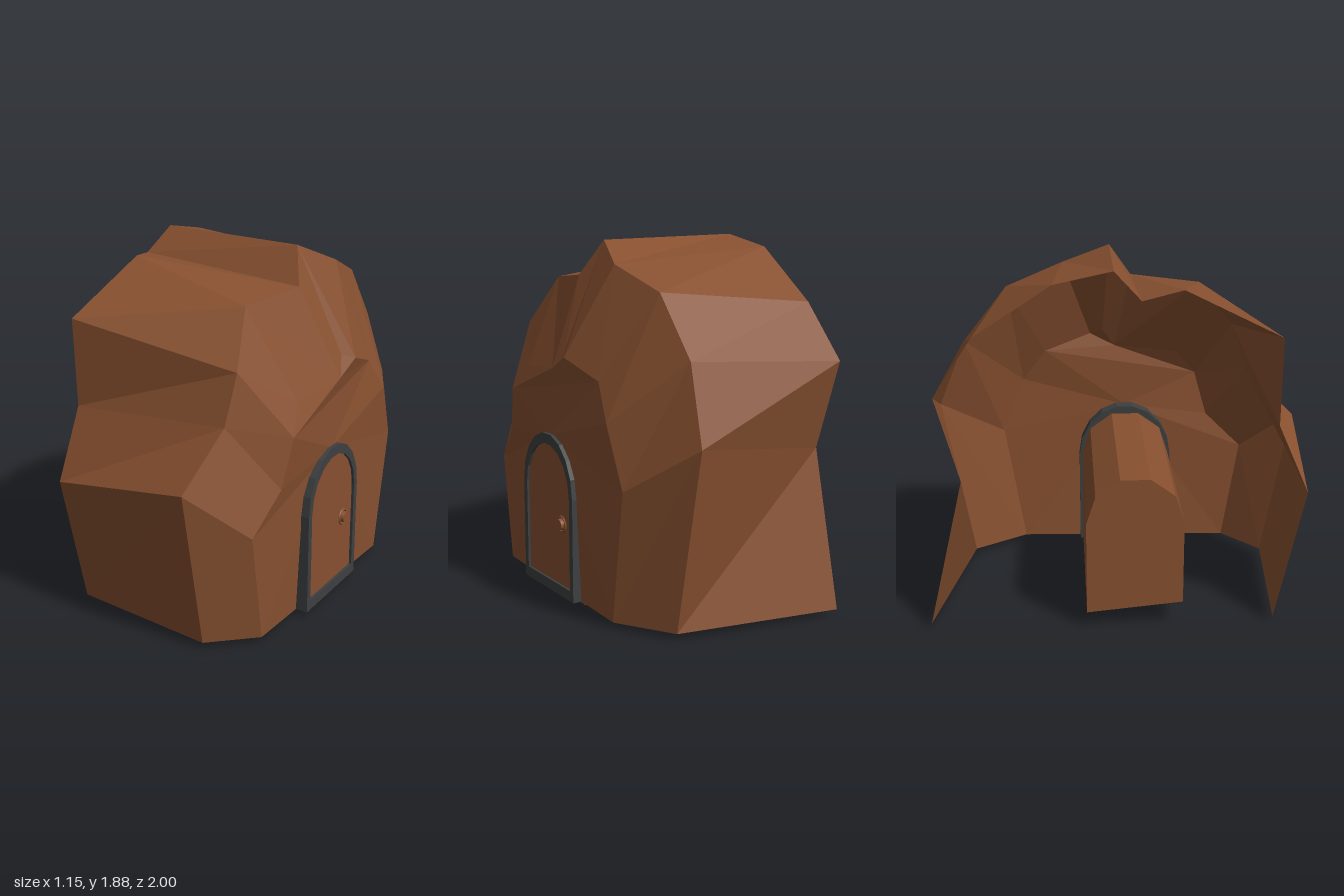
import * as THREE from 'three';

const rock = new THREE.MeshStandardMaterial({ color: 0x875030, side: THREE.DoubleSide, flatShading: true });
rock.name = 'brown rock';
const iron = new THREE.MeshStandardMaterial({ color: 0x3d3f40, flatShading: true });
iron.name = 'dark grey';

const DOOR_Z = 0.058;

// Rings of the shell, [x, y, z], each running from the +z foot over the top to the -z foot
const backRim = [
  [-0.52, 0.03, 0.785], [-0.53, 0.74, 0.93], [-0.52, 1.1, 0.77], [-0.53, 1.55, 0.77],
  [-0.49, 1.78, 0.29], [-0.58, 1.75, 0.08], [-0.52, 1.88, -0.05], [-0.53, 1.82, -0.34],
  [-0.5, 1.56, -0.73], [-0.55, 1.28, -0.92], [-0.51, 0.83, -0.81], [-0.51, 0.03, -1],
];
const shoulder = [
  [0.27, 0.03, 0.85], [0.27, 0.88, 1], [0.33, 1.14, 0.73], [0.35, 1.39, 0.65],
  [0.27, 1.65, 0.45], [0.35, 1.68, 0.08], [0.27, 1.86, -0.04], [0.36, 1.75, -0.29],
  [0.3, 1.63, -0.6], [0.29, 1.33, -0.84], [0.33, 0.95, -0.99], [0.35, 0.03, -0.83],
];
const faceRim = [
  [0.49, 0.03, 0.65], [0.49, 0.61, 0.74], [0.53, 0.8, 0.54], [0.555, 1.05, 0.47],
  [0.51, 1.19, 0.36], [0.555, 1.22, 0], [0.52, 1.32, -0.07], [0.565, 1.29, -0.14],
  [0.52, 1.2, -0.4], [0.555, 1.02, -0.53], [0.54, 0.71, -0.65], [0.53, 0.03, -0.54],
];
const faceCentre = [0.547, 0.86, DOOR_Z];
const browStart = 3, browEnd = 8; // the brow above the door hangs over this stretch of the face rim

function shellGeometry() {
  const p = [];
  const tri = (a, b, c) => p.push(...a, ...b, ...c);
  for (let i = 0; i < backRim.length - 1; i++) {
    for (const [a, b] of [[backRim, shoulder], [shoulder, faceRim]]) {
      tri(a[i], b[i], b[i + 1]);
      tri(a[i], b[i + 1], a[i + 1]);
    }
  }
  // Brow, a fan that ends on a crease running across the face
  const brow = faceRim.slice(browStart, browEnd + 1);
  const pivot = brow[2];
  tri(pivot, brow[1], brow[0]);
  tri(pivot, brow[0], brow[5]);
  tri(pivot, brow[5], brow[4]);
  tri(pivot, brow[4], brow[3]);
  // Lower wall around the door
  const wall = [...faceRim.slice(0, browStart + 1), ...faceRim.slice(browEnd)];
  wall.forEach((v, i) => tri(faceCentre, wall[(i + 1) % wall.length], v));

  const g = new THREE.BufferGeometry();
  g.setAttribute('position', new THREE.Float32BufferAttribute(p, 3));
  g.computeVertexNormals();
  return g;
}

// Outline of a round-topped doorway
function arch(halfWidth, bottom, spring, top, segments = 9) {
  const pts = [new THREE.Vector2(-halfWidth, bottom), new THREE.Vector2(halfWidth, bottom)];
  for (let i = 0; i <= segments; i++) {
    const a = (Math.PI * i) / segments;
    pts.push(new THREE.Vector2(halfWidth * Math.cos(a), spring + (top - spring) * Math.sin(a)));
  }
  return pts;
}

// Extrude an outline along x between two positions
function extrudeX(shape, x0, x1) {
  const g = new THREE.ExtrudeGeometry(shape, { depth: x1 - x0, bevelEnabled: false });
  return g.rotateY(Math.PI / 2).translate(x0, 0, DOOR_Z);
}

export function createModel() {
  const group = new THREE.Group();
  const add = (name, geometry, material) => {
    const m = new THREE.Mesh(geometry, material);
    m.name = name;
    group.add(m);
  };

  add('rockShell', shellGeometry(), rock);

  // Closed passage behind the door, with a slightly tilted floor
  const passage = extrudeX(new THREE.Shape(arch(0.25, 0.03, 0.59, 0.84, 5)), -0.53, 0.49);
  const pos = passage.attributes.position;
  for (let i = 0; i < pos.count; i++) {
    if (pos.getY(i) < 0.04) {
      pos.setY(i, 0.085 * (0.49 - pos.getX(i)) + 0.1 * (pos.getZ(i) + 0.192));
    }
  }
  passage.computeVertexNormals();
  add('passage', passage, rock);

  // Door panel, frame and round handle
  add('doorPanel', extrudeX(new THREE.Shape(arch(0.245, 0.05, 0.57, 0.83)), 0.48, 0.553), rock);
  const frame = new THREE.Shape(arch(0.267, 0.03, 0.57, 0.875));
  frame.holes.push(new THREE.Path(arch(0.233, 0.085, 0.57, 0.82)));
  add('doorFrame', extrudeX(frame, 0.47, 0.567), iron);

  const handle = new THREE.Group();
  handle.name = 'doorHandle';
  const ring = new THREE.Mesh(new THREE.TorusGeometry(0.039, 0.007, 6, 20).rotateY(Math.PI / 2), rock);
  ring.name = 'handleRing';
  const knob = new THREE.Mesh(new THREE.CylinderGeometry(0.028, 0.032, 0.02, 16).rotateZ(-Math.PI / 2), rock);
  knob.name = 'handleKnob';
  knob.position.x = 0.01;
  handle.add(ring, knob);
  handle.position.set(0.554, 0.415, -0.075);
  group.add(handle);

  return group;
}
